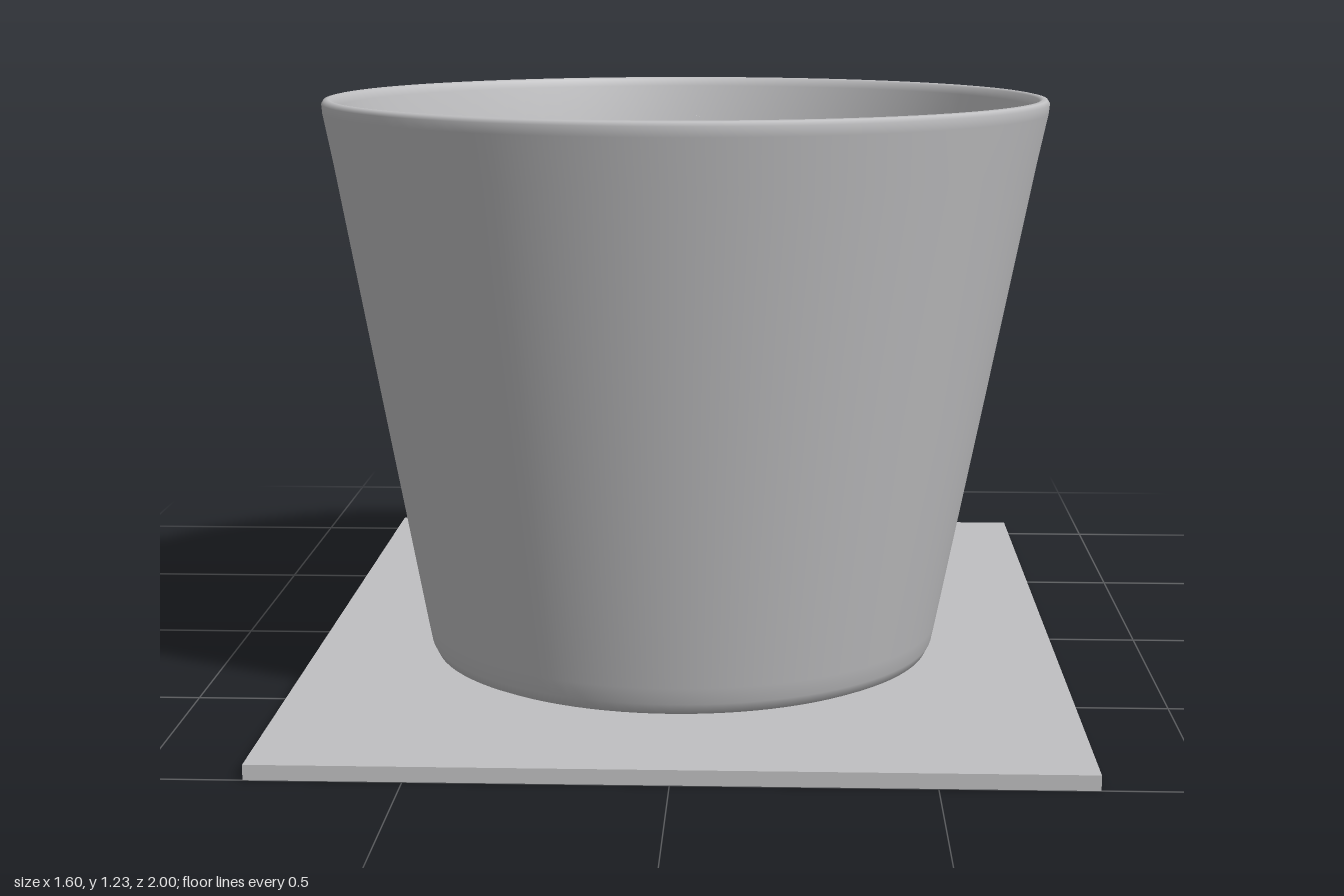
import * as THREE from 'three';
import { toCreasedNormals } from 'three/addons/utils/BufferGeometryUtils.js';

const SIDES = 24;
const GAP = { z: -0.91, y: 1.03, r: 0.041 };

// Cup wall, rim and floor as one closed profile, leaning slightly forward
function cupGeometry() {
  const profile = [
    [0, 0.035], [0.49, 0.035], [0.515, 0.037], [0.533, 0.045], [0.543, 0.065], [0.55, 0.1],
    [0.643, 0.6], [0.735, 1.1], [0.755, 1.2], [0.757, 1.22], [0.752, 1.228], [0.743, 1.23],
    [0.735, 1.226], [0.728, 1.21], [0.705, 1.1], [0.612, 0.6], [0.525, 0.13],
    [0.515, 0.1], [0.5, 0.085], [0.47, 0.08], [0, 0.08],
  ].map(([r, y]) => new THREE.Vector2(r, y));
  const geometry = new THREE.LatheGeometry(profile, 96);
  const p = geometry.attributes.position;
  for (let i = 0; i < p.count; i++) {
    const t = p.getY(i) / 1.23;
    p.setX(i, p.getX(i) - 0.01 * (1 - t));
    p.setZ(i, p.getZ(i) + 0.17 + 0.03 * t);
  }
  return geometry;
}

// Sweep of oval sections [outerZ, outerY, innerZ, innerY, centreX, halfWidth].
// side is +1 above the break in the handle and -1 below it.
function handleGeometry(sections, side) {
  const curve = (f) => new THREE.CatmullRomCurve3(sections.map(f));
  const outer = curve((s) => new THREE.Vector3(0, s[1], s[0]));
  const inner = curve((s) => new THREE.Vector3(0, s[3], s[2]));
  const width = curve((s) => new THREE.Vector3(s[4], s[5], 0));
  const steps = (sections.length - 1) * 8;
  const rings = [];
  for (let i = 0; i <= steps; i++) rings.push([i / steps, 1]);
  // Shrinking rings close the broken end
  for (const k of [0.8, 0.6, 0.4, 0.2, 0]) {
    if (side > 0) rings.push([1, k]);
    else rings.unshift([0, k]);
  }
  const positions = [], index = [];
  rings.forEach(([t, k], i) => {
    const o = outer.getPoint(t), n = inner.getPoint(t), w = width.getPoint(t);
    const c = o.clone().add(n).multiplyScalar(0.5);
    const a = o.clone().sub(n).multiplyScalar(0.5 * k);
    for (let j = 0; j < SIDES; j++) {
      const angle = (j / SIDES) * Math.PI * 2;
      const z = c.z + a.z * Math.cos(angle);
      let y = c.y + a.y * Math.cos(angle);
      // Round notch at the break
      const reach = Math.sqrt(Math.max(0, GAP.r ** 2 - (z - GAP.z) ** 2));
      if (reach > 0) y = side * Math.max(side * y, side * GAP.y + reach);
      positions.push(w.x + w.y * k * Math.sin(angle), y, z);
      if (i < rings.length - 1) {
        const p = i * SIDES + j, q = i * SIDES + ((j + 1) % SIDES);
        index.push(p, q, q + SIDES, p, q + SIDES, p + SIDES);
      }
    }
  });
  const geometry = new THREE.BufferGeometry();
  geometry.setAttribute('position', new THREE.Float32BufferAttribute(positions, 3));
  geometry.setIndex(index);
  return toCreasedNormals(geometry, 0.8);
}

export function createModel() {
  const group = new THREE.Group();
  const grey = new THREE.MeshStandardMaterial({ color: 0xc0c0c2 });
  grey.name = 'grey';
  const add = (name, geometry) => {
    const mesh = new THREE.Mesh(geometry, grey);
    mesh.name = name;
    group.add(mesh);
    return mesh;
  };

  add('basePlate', new THREE.BoxGeometry(1.6, 0.03, 2)).position.y = 0.015;
  add('cup', cupGeometry());

  // Upper part of the handle, from the wall to the break
  add('upperHandle', handleGeometry([
    [-0.515, 1.14, -0.485, 0.93, -0.01, 0.1],
    [-0.56, 1.162, -0.54, 1.04, 0, 0.075],
    [-0.65, 1.192, -0.64, 1.105, 0.005, 0.065],
    [-0.77, 1.211, -0.77, 1.135, 0.005, 0.065],
    [-0.88, 1.185, -0.835, 1.122, 0, 0.07],
    [-0.94, 1.125, -0.865, 1.085, -0.01, 0.075],
    [-0.951, 1.03, -0.869, 1.03, -0.015, 0.075],
  ], 1));

  // Lower part, from the break to its flared foot on the wall
  add('lowerHandle', handleGeometry([
    [-0.951, 1.03, -0.869, 1.03, -0.015, 0.075],
    [-0.947, 0.92, -0.862, 0.94, -0.025, 0.075],
    [-0.92, 0.785, -0.825, 0.835, -0.03, 0.075],
    [-0.84, 0.675, -0.745, 0.765, -0.03, 0.075],
    [-0.7, 0.612, -0.64, 0.736, -0.03, 0.075],
    [-0.57, 0.575, -0.55, 0.742, -0.025, 0.085],
    [-0.485, 0.48, -0.495, 0.78, -0.02, 0.105],
    [-0.385, 0.26, -0.465, 0.85, -0.02, 0.13],
  ], -1));

  return group;
}
